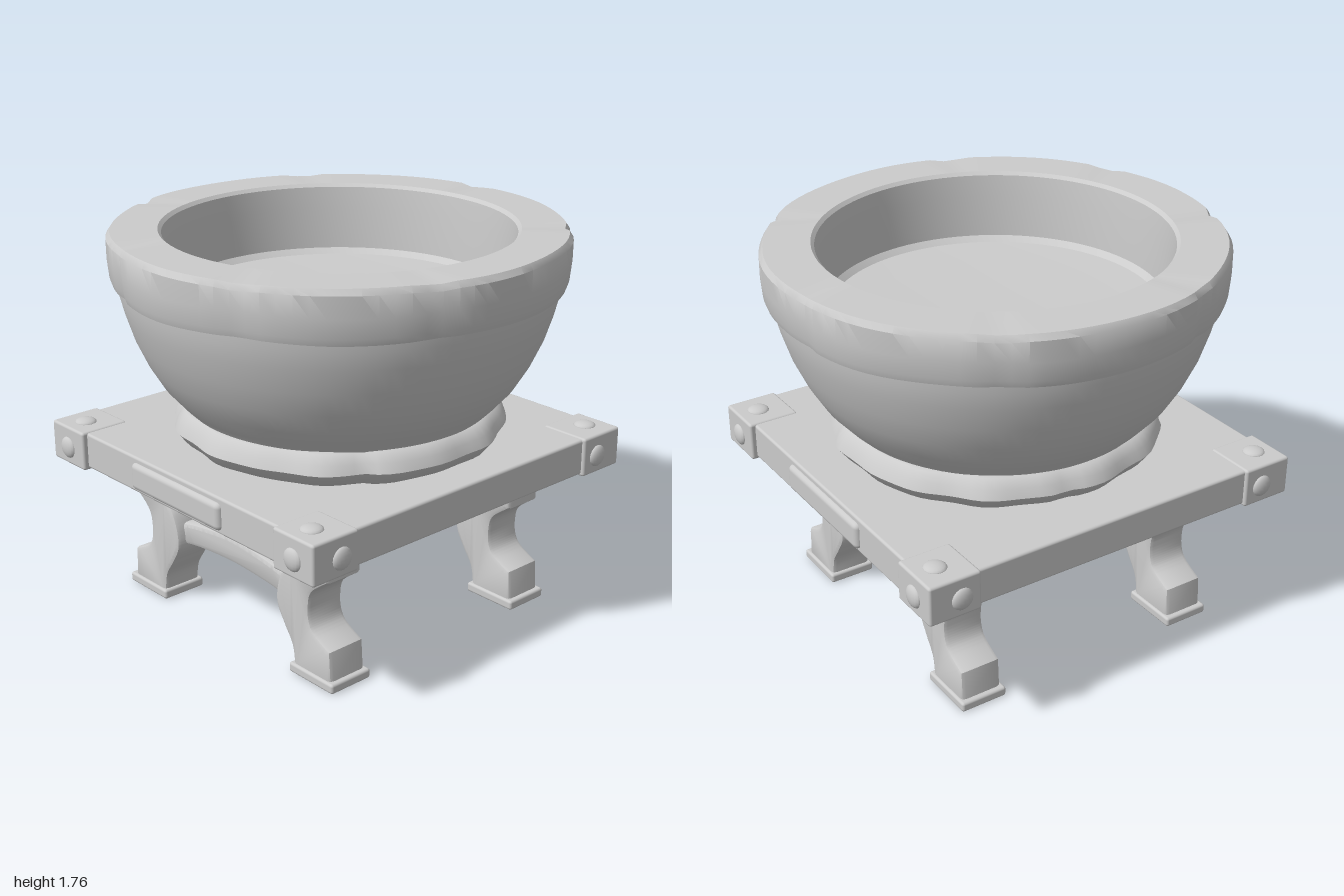
import * as THREE from 'three';
import { toCreasedNormals } from 'three/addons/utils/BufferGeometryUtils.js';
import { RoundedBoxGeometry } from 'three/addons/geometries/RoundedBoxGeometry.js';

const material = new THREE.MeshStandardMaterial({ color: 0xcccccc });
const v2 = (pts) => pts.map(([x, y]) => new THREE.Vector2(x, y));

function add(parent, name, geometry, x = 0, y = 0, z = 0) {
  const mesh = new THREE.Mesh(geometry, material);
  mesh.name = name;
  mesh.position.set(x, y, z);
  parent.add(mesh);
  return mesh;
}

// Softly rounded box given by its size
const box = (w, h, d, r = 0.012) => new RoundedBoxGeometry(w, h, d, 2, r);

// Bevelled slab cut from an outline, centred on z
function slab(shape, depth, bevel = 0.02) {
  const g = new THREE.ExtrudeGeometry(shape, {
    depth: depth - 2 * bevel, bevelEnabled: true, bevelThickness: bevel,
    bevelSize: bevel, bevelOffset: -bevel, bevelSegments: 2, curveSegments: 10,
  });
  g.translate(0, 0, bevel - depth / 2);
  return toCreasedNormals(g, 0.7);
}

function tube(points, radius) {
  const curve = new THREE.CatmullRomCurve3(points.map(([x, y]) => new THREE.Vector3(x, y, 0)));
  return new THREE.TubeGeometry(curve, 16, radius, 8);
}

// Turned shape whose radius and height can be worn by a rule of angle and height
function turned(profile, wear, crease = 0.6) {
  const g = new THREE.LatheGeometry(v2(profile), 96);
  const p = g.attributes.position;
  for (let i = 0; i < p.count; i++) {
    const x = p.getX(i), y = p.getY(i), z = p.getZ(i);
    const { s, dy } = wear(Math.atan2(z, x), y, Math.hypot(x, z));
    p.setXYZ(i, x * s, y + dy, z * s);
  }
  return toCreasedNormals(g, crease);
}

// Narrow dents at a few angles, 0 to 1
function chips(a, angles, width) {
  let d = 0;
  for (const c of angles) {
    const t = Math.atan2(Math.sin(a - c), Math.cos(a - c)) / width;
    d = Math.max(d, 1 - Math.abs(t));
  }
  return d;
}

function buildBowl() {
  const bowl = new THREE.Group();
  bowl.name = 'bowl';

  // Rounded body, below the rim
  add(bowl, 'bowlBody', turned(
    [[0, 0.86], [0.62, 0.88], [0.66, 0.96], [0.72, 1.02], [0.79, 1.1], [0.85, 1.2],
      [0.9, 1.31], [0.935, 1.42], [0.955, 1.5], [0.96, 1.56], [0.9, 1.57]],
    () => ({ s: 1, dy: 0 })));

  // Heavy worn rim with the inner wall and floor
  const rimChips = [0.35, 1.15, 1.9, 2.75, 3.7, 4.6, 5.5];
  add(bowl, 'bowlRim', turned(
    [[0.93, 1.54], [0.98, 1.54], [0.99, 1.57], [0.997, 1.65], [0.997, 1.74], [0.98, 1.765],
      [0.78, 1.765], [0.765, 1.75], [0.755, 1.65], [0.745, 1.46], [0.72, 1.435], [0.55, 1.425], [0, 1.425]],
    (a, y, r) => {
      if (r < 0.9) return { s: 1, dy: 0 };
      const c = chips(a, rimChips, 0.07);
      return {
        s: 1 - 0.015 * c + 0.003 * Math.sin(9 * a + 4 * y),
        dy: y > 1.7 ? -0.012 * c : 0.004 * Math.sin(7 * a),
      };
    }));

  // Uneven foot ring
  add(bowl, 'bowlFoot', turned(
    [[0, 0.825], [0.66, 0.825], [0.7, 0.845], [0.742, 0.9], [0.725, 0.94], [0.695, 0.98], [0.67, 0.985], [0.6, 0.985]],
    (a, y) => ({
      s: 1 + 0.008 * Math.sin(11 * a + 5 * y) + 0.006 * Math.sin(17 * a) - 0.02 * chips(a, [0.6, 2.2, 3.3, 5], 0.08),
      dy: 0,
    }), 0.8));
  return bowl;
}

function buildStand() {
  const stand = new THREE.Group();
  stand.name = 'stand';
  stand.position.x = -0.035;

  add(stand, 'tableTop', box(1.76, 0.165, 1.79), 0, 0.746, 0);

  // Curved leg outline, bending inward at the knee
  const leg = new THREE.Shape();
  leg.moveTo(0.455, 0.68);
  leg.lineTo(0.455, 0.58);
  leg.splineThru(v2([[0.425, 0.51], [0.375, 0.445], [0.345, 0.36], [0.345, 0.28], [0.39, 0.2], [0.44, 0.12], [0.455, 0.02]]));
  leg.lineTo(0.69, 0.02);
  leg.lineTo(0.68, 0.18);
  leg.splineThru(v2([[0.59, 0.225], [0.555, 0.27], [0.548, 0.34], [0.57, 0.415], [0.665, 0.49]]));
  leg.lineTo(0.665, 0.68);
  const legGeometry = slab(leg, 0.195);
  const rivetGeometry = new THREE.SphereGeometry(0.05, 16, 10);

  for (const sx of [-1, 1]) {
    for (const sz of [-1, 1]) {
      const corner = new THREE.Group();
      corner.name = (sz > 0 ? 'front' : 'back') + (sx > 0 ? 'Left' : 'Right') + 'Corner';
      stand.add(corner);

      // Leg and its foot plate
      const legMesh = add(corner, 'leg', legGeometry, 0, 0, sz * 0.55);
      if (sx < 0) legMesh.rotation.y = Math.PI;
      add(corner, 'footPlate', box(0.275, 0.045, 0.22), sx * 0.575, 0.0225, sz * 0.55);

      // Corner bracket with a rivet on each outer face
      add(corner, 'cornerBracket', box(0.24, 0.18, 0.24), sx * 0.775, 0.744, sz * 0.8);
      add(corner, 'frontRivet', rivetGeometry, sx * 0.775, 0.735, sz * 0.918).scale.z = 0.45;
      add(corner, 'sideRivet', rivetGeometry, sx * 0.893, 0.735, sz * 0.77).scale.x = 0.45;
      add(corner, 'topRivet', rivetGeometry, sx * 0.775, 0.832, sz * 0.82).scale.y = 0.4;
    }
    // Upper side rail
    add(stand, 'sideRail', box(0.11, 0.1, 1.0, 0.02), sx * 0.56, 0.623, 0);
  }

  // Arched stretcher outline
  const arch = new THREE.Shape();
  arch.moveTo(-0.39, 0.29);
  arch.splineThru(v2([[-0.25, 0.315], [0, 0.33], [0.25, 0.315], [0.39, 0.29]]));
  arch.lineTo(0.39, 0.395);
  arch.splineThru(v2([[0.25, 0.425], [0, 0.45], [-0.25, 0.425], [-0.39, 0.395]]));
  const archGeometry = slab(arch, 0.11);

  for (const sz of [-1, 1]) {
    const side = new THREE.Group();
    side.name = sz > 0 ? 'frontFrame' : 'backFrame';
    side.position.z = sz * 0.55;
    stand.add(side);
    add(side, 'upperRail', box(0.96, 0.1, 0.11, 0.02), 0, 0.623, 0);
    add(side, 'archedStretcher', archGeometry);
    add(side, 'stretcherBoss', new THREE.SphereGeometry(0.035, 12, 8), 0, 0.345, 0);
    add(side, 'plaque', box(0.61, 0.125, 0.06, 0.025), 0, 0.743, sz * 0.335);

    // Mirrored scrollwork between rail and stretcher
    for (const s of [-1, 1]) {
      add(side, 'scroll', tube([[s * 0.175, 0.6], [s * 0.19, 0.54], [s * 0.17, 0.485], [s * 0.12, 0.44], [s * 0.09, 0.41]], 0.033));
      add(side, 'scrollCurl', tube([[s * 0.18, 0.55], [s * 0.13, 0.565], [s * 0.07, 0.552], [0, 0.585]], 0.018));
    }
  }

  // Central lower beam joining the two arches, slightly waisted
  const beam = new THREE.Shape();
  beam.moveTo(-0.55, 0.32);
  beam.lineTo(0.55, 0.32);
  beam.lineTo(0.55, 0.455);
  beam.splineThru(v2([[0.35, 0.45], [0.15, 0.437], [-0.15, 0.437], [-0.35, 0.45], [-0.55, 0.455]]));
  add(stand, 'centreBeam', slab(beam, 0.11)).rotation.y = Math.PI / 2;
  return stand;
}

export function createModel() {
  const model = new THREE.Group();
  model.name = 'bowlOnStand';
  model.add(buildBowl(), buildStand());
  return model;
}
